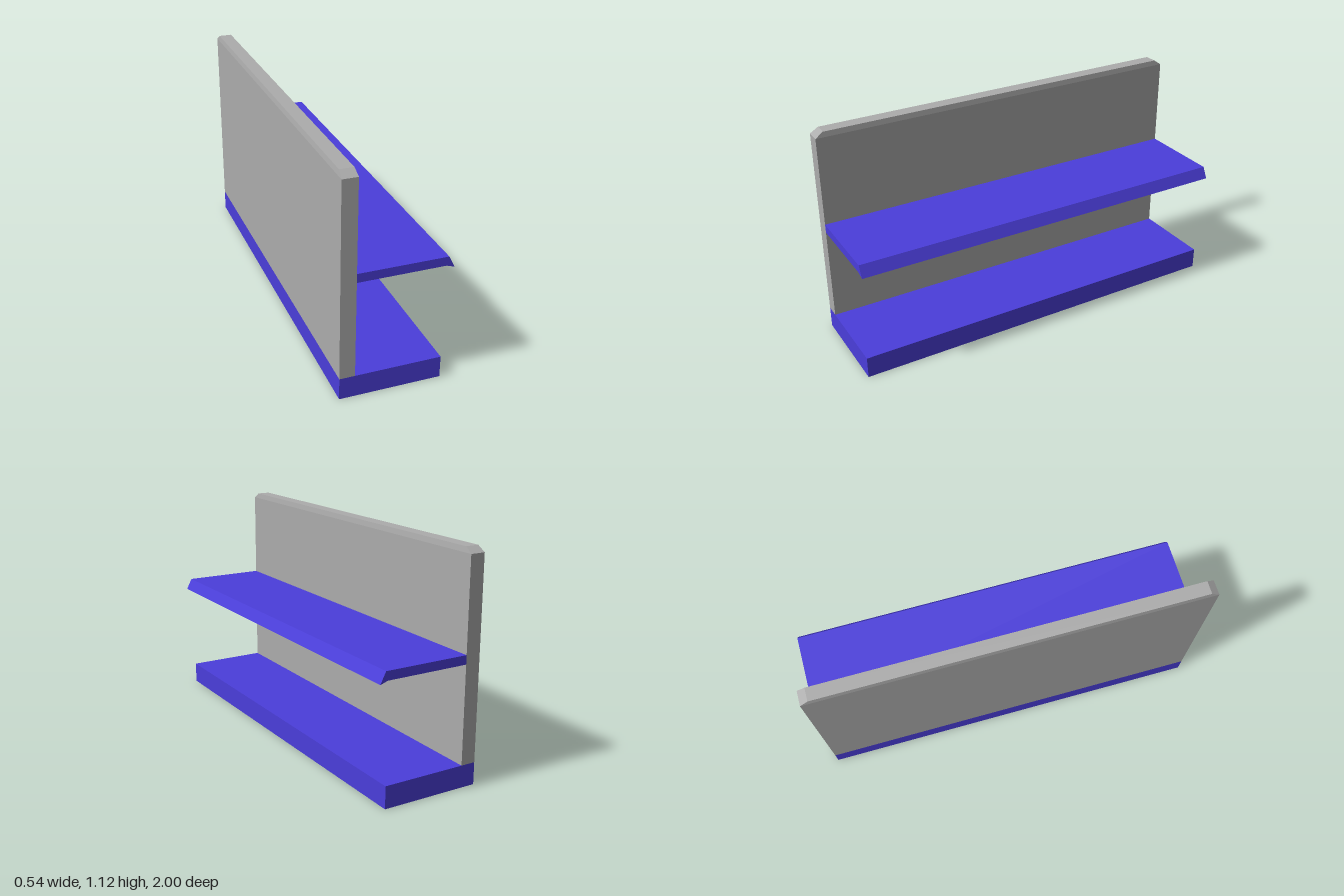
import * as THREE from 'three';

const LENGTH = 2;

// Extrudes an x-y outline along the full length in z.
function profile(name, points, material) {
  const shape = new THREE.Shape(points.map(([x, y]) => new THREE.Vector2(x, y)));
  const geometry = new THREE.ExtrudeGeometry(shape, { depth: LENGTH, bevelEnabled: false });
  geometry.translate(0, 0, -LENGTH / 2);
  const mesh = new THREE.Mesh(geometry, material);
  mesh.name = name;
  return mesh;
}

// Box between two corners.
function box(name, [x0, y0, z0], [x1, y1, z1], material) {
  const geometry = new THREE.BoxGeometry(x1 - x0, y1 - y0, z1 - z0);
  geometry.translate((x0 + x1) / 2, (y0 + y1) / 2, (z0 + z1) / 2);
  const mesh = new THREE.Mesh(geometry, material);
  mesh.name = name;
  return mesh;
}

export function createModel() {
  const grey = new THREE.MeshStandardMaterial({ color: 0xacacac });
  grey.name = 'panelGrey';
  const blue = new THREE.MeshStandardMaterial({ color: 0x4b3edb });
  blue.name = 'shelfBlue';

  const group = new THREE.Group();
  group.name = 'displayShelf';

  // Plinth
  group.add(box('base', [-0.269, 0, -1], [0.229, 0.11, 1], blue));

  // Upright back panel
  group.add(box('backPanel', [-0.269, 0.11, -1], [-0.194, 1.093, 1], grey));

  // Panel top, tapered at both ends and very slightly across
  const cap = box('backPanelTop', [-0.269, 1.093, -1], [-0.194, 1.12, 1], grey);
  const p = cap.geometry.attributes.position;
  for (let i = 0; i < p.count; i++) {
    if (p.getY(i) < 1.1) continue;
    p.setX(i, p.getX(i) < -0.23 ? -0.265 : -0.198);
    p.setZ(i, Math.sign(p.getZ(i)) * 0.96);
  }
  cap.geometry.computeVertexNormals();
  group.add(cap);

  // Shelf with a drooping front lip
  group.add(profile('shelf', [
    [-0.194, 0.595], [0.229, 0.595], [0.268, 0.582], [0.239, 0.639], [-0.194, 0.639],
  ], blue));

  return group;
}
